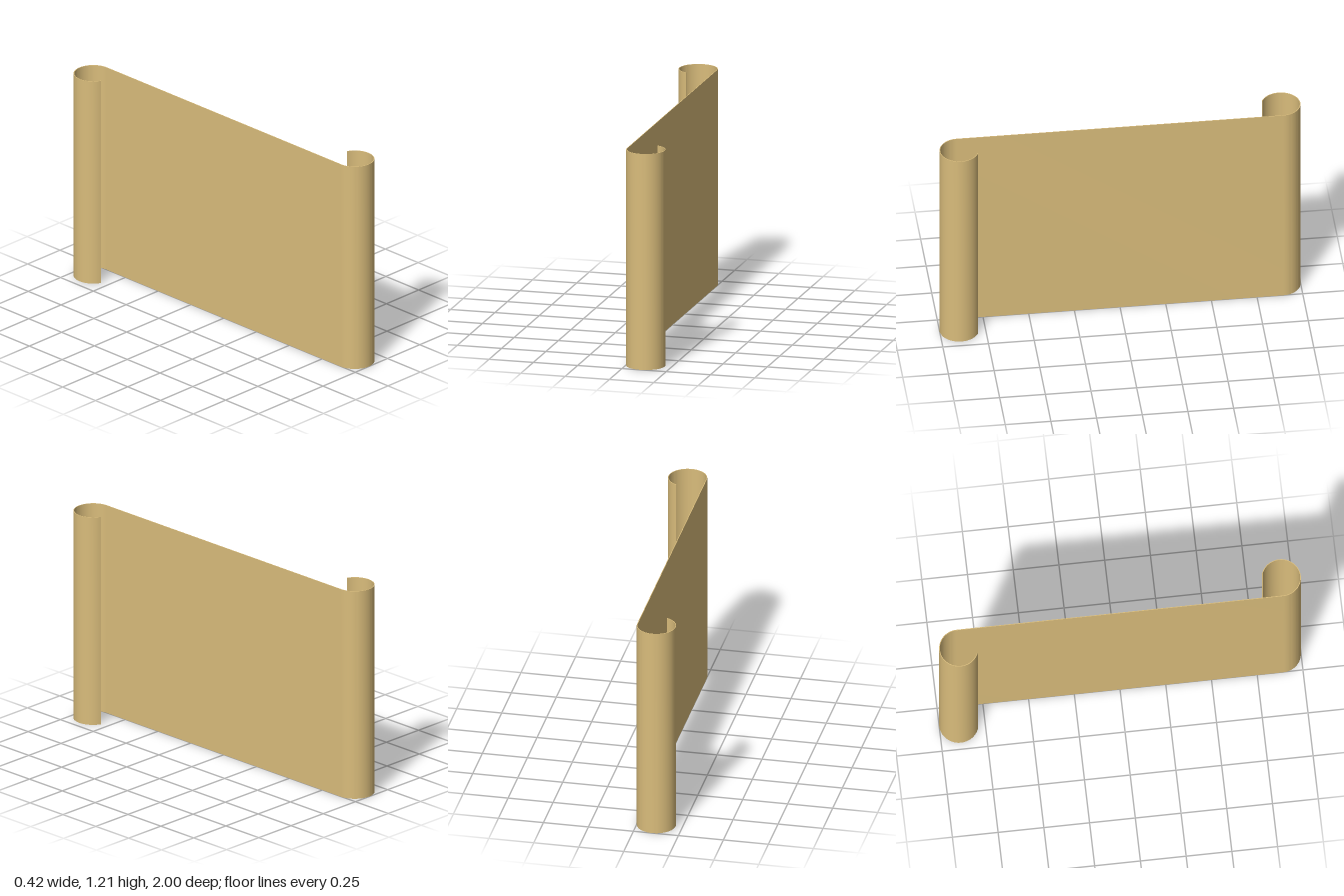
import * as THREE from 'three';
import { toCreasedNormals } from 'three/addons/utils/BufferGeometryUtils.js';

const HEIGHT = 1.21;
const RADIUS = 0.105; // curl radius along the middle of the sheet
const HALF_THICKNESS = 0.002;
const CURL_Z = 1 - RADIUS - HALF_THICKNESS;
const CURL_ANGLE = THREE.MathUtils.degToRad(248);
const STEPS = 48;

// Points of the front curl, from the flat sheet to its free end
function curl(radius) {
  return Array.from({ length: STEPS + 1 }, (_, i) => {
    const a = (CURL_ANGLE * i) / STEPS;
    return new THREE.Vector2(RADIUS - radius * Math.cos(a), -CURL_Z - radius * Math.sin(a));
  });
}

// One face of the sheet: back curl (front curl turned half round), flat, front curl
function sheetSide(offset) {
  const back = curl(RADIUS - offset).map((p) => p.negate()).reverse();
  return [...back, ...curl(RADIUS + offset)];
}

export function createModel() {
  const group = new THREE.Group();
  group.name = 'scroll';

  // Thin S-shaped outline, raised to the height of the sheet
  const outline = new THREE.Shape([
    ...sheetSide(HALF_THICKNESS),
    ...sheetSide(-HALF_THICKNESS).reverse(),
  ]);
  const extruded = new THREE.ExtrudeGeometry(outline, { depth: HEIGHT, bevelEnabled: false });
  extruded.rotateX(-Math.PI / 2);

  const sheet = new THREE.Mesh(
    toCreasedNormals(extruded, 0.6),
    new THREE.MeshStandardMaterial({ color: 0xd9bc7b, side: THREE.DoubleSide })
  );
  sheet.name = 'scrollSheet';
  group.add(sheet);
  return group;
}
